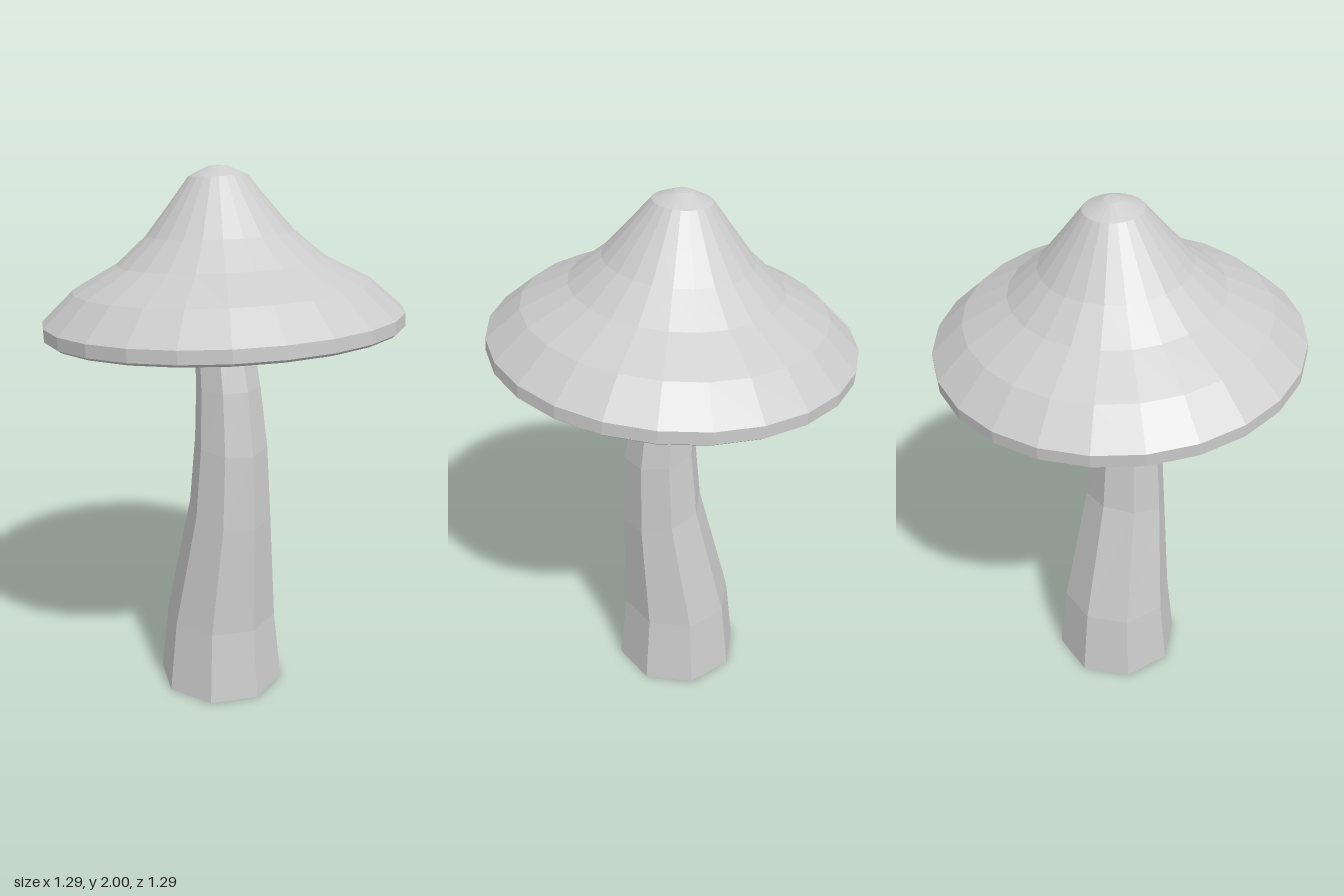
import * as THREE from 'three';

const material = new THREE.MeshStandardMaterial({ color: 0xcccccc, flatShading: true });

// Bent octagonal stem: each ring has a height, sideways offset, radius and tilt
function createStem() {
  const rings = [
    { y: 0, x: -0.018, r: 0.243, tilt: 0 },
    { y: 0.28, x: -0.018, r: 0.213, tilt: 0 },
    { y: 0.74, x: 0.042, r: 0.156, tilt: -0.24 },
    { y: 1.01, x: 0.047, r: 0.136, tilt: -0.15 },
    { y: 1.22, x: 0.028, r: 0.119, tilt: 0.06 },
    { y: 1.5, x: -0.018, r: 0.098, tilt: 0.07 },
  ];
  const steps = rings.length - 1;
  const geometry = new THREE.CylinderGeometry(1, 1, 1, 8, steps);
  const p = geometry.attributes.position;
  for (let i = 0; i < p.count; i++) {
    const { y, x, r, tilt } = rings[Math.round((p.getY(i) + 0.5) * steps)];
    const side = p.getX(i) * r;
    p.setXYZ(i, x + side * Math.cos(tilt), y + side * Math.sin(tilt), p.getZ(i) * r);
  }
  geometry.computeVertexNormals();
  const stem = new THREE.Mesh(geometry, material);
  stem.name = 'stem';
  return stem;
}

// Bell-shaped cap, from the hollow underside around the rim to the tip
function createCap() {
  const profile = [
    [0, 0.045], [0.3, 0.04], [0.54, 0.02], [0.632, 0], [0.645, 0.01],
    [0.645, 0.055], [0.53, 0.16], [0.37, 0.245], [0.26, 0.34],
    [0.18, 0.437], [0.102, 0.535], [0.03, 0.567], [0, 0.569],
  ].map(([r, y]) => new THREE.Vector2(r, y));
  const geometry = new THREE.LatheGeometry(profile, 24, THREE.MathUtils.degToRad(-3.5));
  const cap = new THREE.Mesh(geometry, material);
  cap.name = 'cap';
  cap.position.set(0, 1.432, 0);
  cap.rotation.z = 0.066;
  return cap;
}

export function createModel() {
  const mushroom = new THREE.Group();
  mushroom.name = 'mushroom';
  mushroom.add(createStem(), createCap());
  return mushroom;
}
